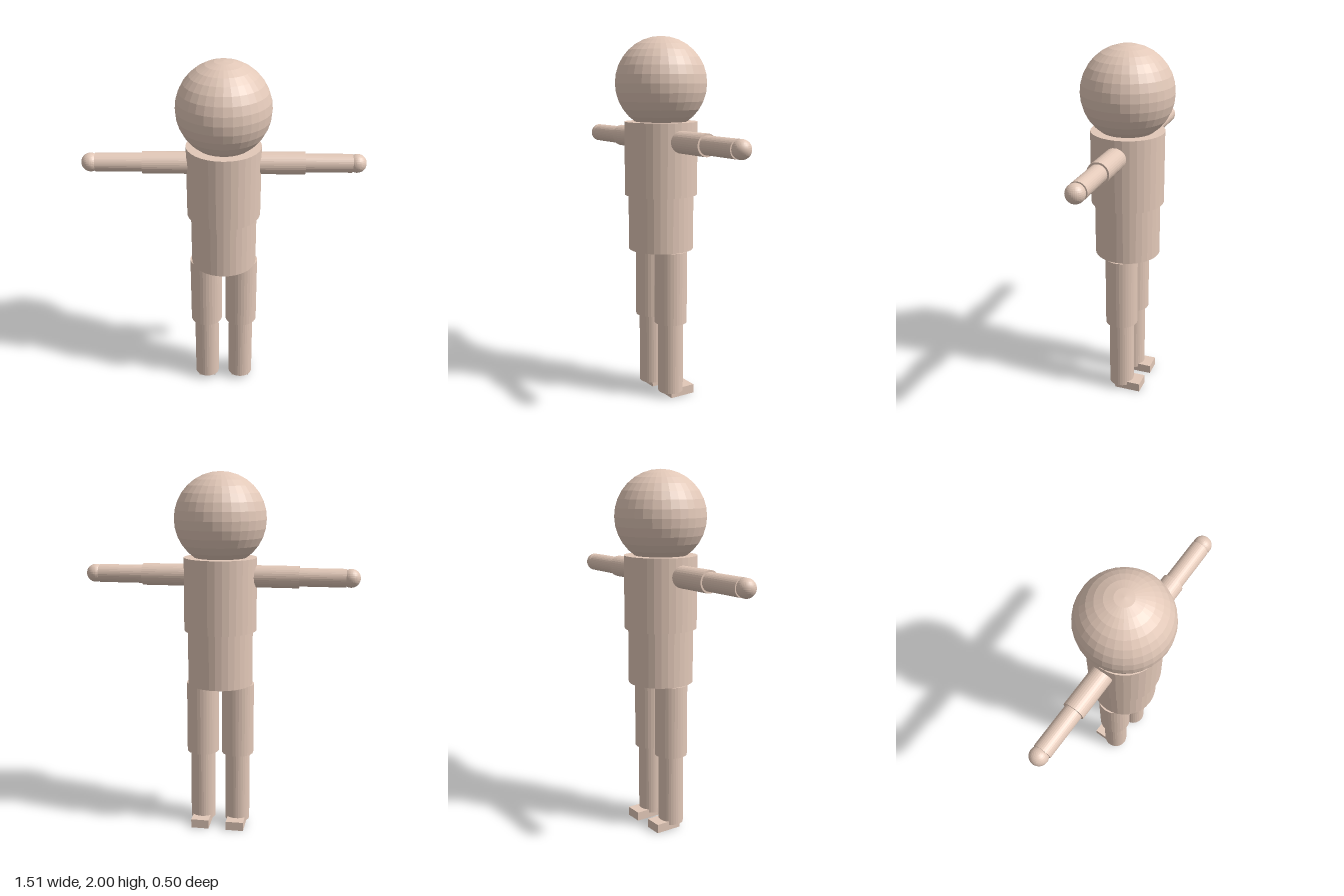
import * as THREE from 'three';

export function createModel() {
  const root = new THREE.Group();
  root.name = 'figure';
  const skin = new THREE.MeshStandardMaterial({ color: 0xe2c8b8, flatShading: true });

  function add(parent, name, geometry, x, y, z = 0) {
    const mesh = new THREE.Mesh(geometry, skin);
    mesh.name = name;
    mesh.position.set(x, y, z);
    parent.add(mesh);
    return mesh;
  }

  // Upright cylinder between two heights
  function column(parent, name, radius, bottom, top, x = 0) {
    const geometry = new THREE.CylinderGeometry(radius, radius, top - bottom, 32);
    return add(parent, name, geometry, x, (bottom + top) / 2);
  }

  // Sideways cylinder between two x positions on one side
  function armSegment(parent, name, radius, inner, outer, side) {
    const geometry = new THREE.CylinderGeometry(radius, radius, outer - inner, 32);
    geometry.rotateZ(Math.PI / 2);
    return add(parent, name, geometry, side * (inner + outer) / 2, 1.445);
  }

  // Head and trunk
  add(root, 'head', new THREE.SphereGeometry(0.25, 32, 16), 0, 1.75);
  column(root, 'chest', 0.2, 1.145, 1.545);
  column(root, 'hips', 0.18, 0.84, 1.145);

  for (const side of [1, -1]) {
    const label = side > 0 ? 'left' : 'right';

    // Outstretched arm with a ball hand
    const arm = new THREE.Group();
    arm.name = label + 'Arm';
    armSegment(arm, label + 'UpperArm', 0.06, 0.18, 0.43, side);
    armSegment(arm, label + 'Forearm', 0.05, 0.43, 0.68, side);
    add(arm, label + 'Hand', new THREE.SphereGeometry(0.05, 32, 16), side * 0.705, 1.445);
    root.add(arm);

    // Leg with a block foot pointing toward -z
    const leg = new THREE.Group();
    leg.name = label + 'Leg';
    column(leg, label + 'Thigh', 0.09, 0.435, 0.84, side * 0.1);
    column(leg, label + 'Shin', 0.07, 0.03, 0.435, side * 0.1);
    add(leg, label + 'Foot', new THREE.BoxGeometry(0.1, 0.05, 0.15), side * 0.1, 0.025, -0.05);
    root.add(leg);
  }
  return root;
}
